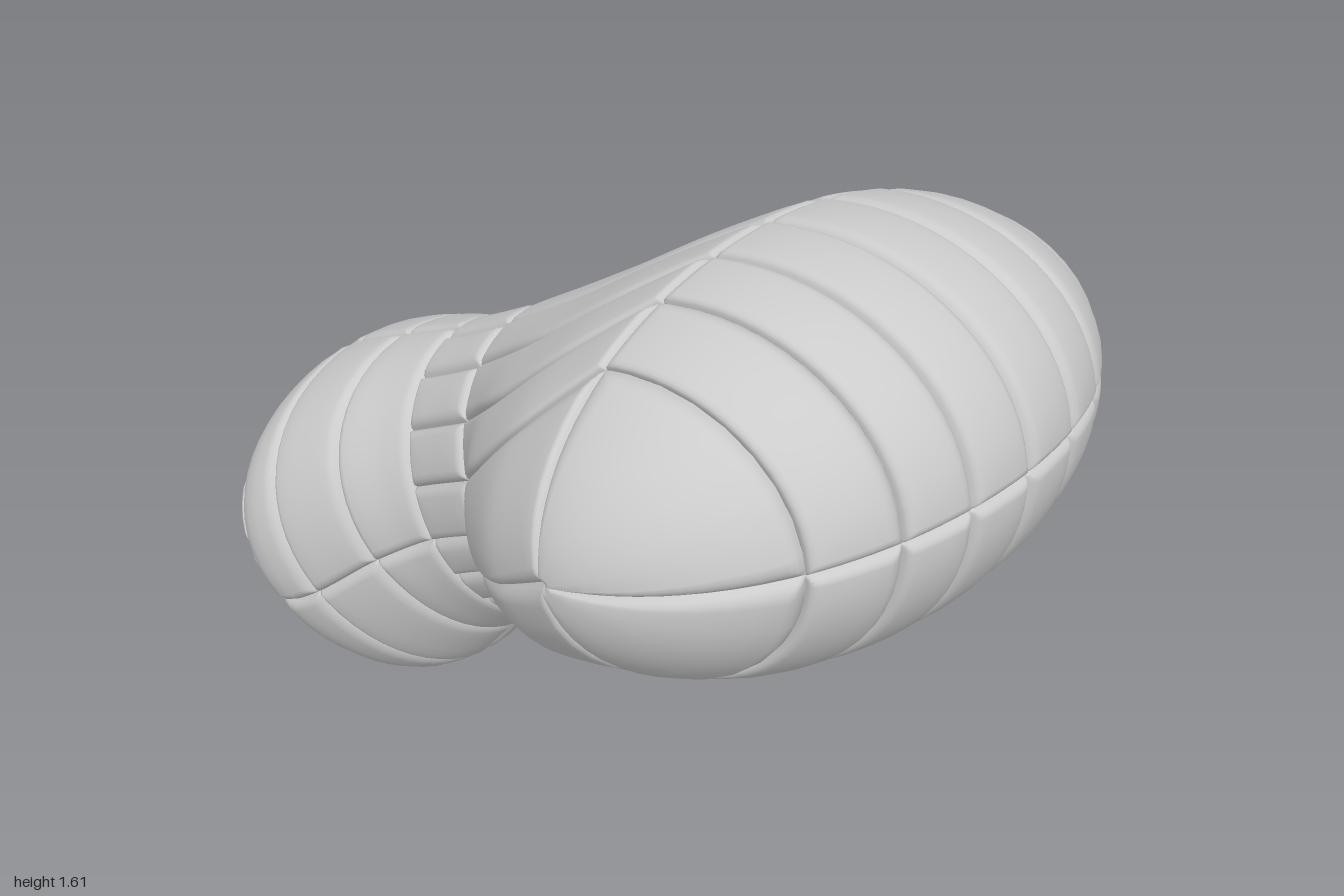
import * as THREE from 'three';
import { mergeGeometries } from 'three/addons/utils/BufferGeometryUtils.js';

const V = (x, y, z) => new THREE.Vector3(x, y, z);
const { lerp, clamp } = THREE.MathUtils;

// Cross-sections from the cuff end to the knuckles:
// centre x, half width, top z, top y, bottom z, bottom y
const SECTIONS = [
  [0.045, 0.415, -0.975, 0.69, -0.68, 0.025],
  [0.045, 0.445, -0.925, 0.775, -0.585, -0.008],
  [0.045, 0.43, -0.86, 0.835, -0.47, 0.06],
  [0.045, 0.365, -0.685, 0.925, -0.335, 0.225],
  [0.04, 0.305, -0.5, 1.01, -0.2, 0.355],
  [0.03, 0.315, -0.29, 1.13, -0.01, 0.475],
  [0.01, 0.545, -0.01, 1.315, 0.246, 0.61],
  [0, 0.67, 0.2, 1.465, 0.435, 0.705],
  [0, 0.718, 0.37, 1.575, 0.6, 0.785],
];
const LAST = SECTIONS.length - 1;
const BAND_START = 4, BAND_END = 5;
const topCurve = new THREE.CatmullRomCurve3(SECTIONS.map((s) => V(0, s[3], s[2])));
const bottomCurve = new THREE.CatmullRomCurve3(SECTIONS.map((s) => V(0, s[5], s[4])));
const widthCurve = new THREE.CatmullRomCurve3(SECTIONS.map((s) => V(s[0], s[1], 0)));

// Centre, half width and half-height vector of the section at index t
function section(t) {
  const top = topCurve.getPoint(t / LAST);
  const bottom = bottomCurve.getPoint(t / LAST);
  const w = widthCurve.getPoint(t / LAST);
  const centre = top.clone().add(bottom).multiplyScalar(0.5);
  const up = top.sub(bottom).multiplyScalar(0.5);
  centre.x = w.x;
  return { centre, width: w.y, up };
}

// Body surface: a = angle around the section, t = section index; the cuff narrows downwards
function body(a, t) {
  const { centre, width, up } = section(t);
  const taper = 0.17 * clamp(BAND_START - t, 0, 1);
  const point = centre.clone().addScaledVector(up, Math.sin(a));
  point.x += width * Math.cos(a) * (1 + taper * Math.sin(a));
  return { point, centre };
}

// Hand surface: seam k fans from its wrist angle to its knuckle angle
function hand(wrist, knuckle) {
  return (k, t) => {
    const i = clamp(Math.floor(k), 0, wrist.length - 2);
    const s = (t - BAND_END) / (LAST - BAND_END);
    const a = lerp(wrist[i], knuckle[i], s);
    const b = lerp(wrist[i + 1], knuckle[i + 1], s);
    return body(lerp(a, b, k - i), t);
  };
}

// Rounded cuff end: r runs from the pole to the rim
const endBulge = V(0, -0.04, -0.09);
function endCap(a, r) {
  const { point, centre } = body(a, 0);
  point.sub(centre).multiplyScalar(Math.sin(r * Math.PI / 2));
  point.add(centre).addScaledVector(endBulge, Math.cos(r * Math.PI / 2));
  return { point, centre };
}

// Knuckle dome: a selects a slice across the width, b runs over it from top to bottom
const domeForward = V(0, 0.15, 0.503);
function dome(a, b) {
  const { centre, width, up } = section(LAST);
  const point = centre.clone()
    .addScaledVector(up, Math.sin(a) * Math.cos(b))
    .addScaledVector(domeForward, Math.sin(a) * Math.sin(b));
  point.x += width * Math.cos(a);
  return { point, centre };
}

// Sample positions 0..1, packed closely beside the seams
function ticks(length) {
  const size = Math.max(length, 0.07);
  const edge = [0, 0.005, 0.01, 0.017, 0.027].map((e) => e / size);
  const start = edge[edge.length - 1];
  const n = Math.ceil(size / 0.05);
  const middle = [];
  for (let i = 1; i < n; i++) middle.push(start + (1 - 2 * start) * i / n);
  return [...edge, ...middle, ...edge.map((e) => 1 - e).reverse()];
}

// One padded panel whose edges sink into the seams
function panel(surface, u0, u1, v0, v1) {
  const at = (u, v) => surface(u0 + (u1 - u0) * u, v0 + (v1 - v0) * v);
  const span = (f) => {
    let sum = 0;
    for (let i = 0; i < 8; i++) sum += f(i / 8).distanceTo(f((i + 1) / 8));
    return sum;
  };
  const lenU = span((k) => at(k, 0.5).point);
  const lenV = span((k) => at(0.5, k).point);
  const us = ticks(lenU), vs = ticks(lenV);
  const positions = [], index = [];
  for (const v of vs) {
    for (const u of us) {
      const { point, centre } = at(u, v);
      const d = Math.min(Math.min(u, 1 - u) * lenU, Math.min(v, 1 - v) * lenV);
      const inward = centre.clone().sub(point).normalize();
      point.addScaledVector(inward, 0.023 * Math.exp(-d / 0.01));
      positions.push(point.x, point.y, point.z);
    }
  }
  // Pick the winding that faces outwards
  const m = at(0.5, 0.5);
  const du = at(0.51, 0.5).point.sub(m.point);
  const dv = at(0.5, 0.51).point.sub(m.point);
  const outward = du.cross(dv).dot(m.point.clone().sub(m.centre)) > 0;
  const n = us.length;
  for (let j = 0; j < vs.length - 1; j++) {
    for (let i = 0; i < n - 1; i++) {
      const a = j * n + i, b = a + 1, c = a + n, d = c + 1;
      if (outward) index.push(a, b, d, a, d, c);
      else index.push(a, d, b, a, c, d);
    }
  }
  const geometry = new THREE.BufferGeometry();
  geometry.setAttribute('position', new THREE.Float32BufferAttribute(positions, 3));
  geometry.setIndex(index);
  geometry.computeVertexNormals();
  return geometry;
}

export function createModel() {
  const group = new THREE.Group();
  group.name = 'paddedGlove';
  const material = new THREE.MeshStandardMaterial({ color: 0xcccccc });

  // A part is a grid of panels between two lists of seams
  const addPart = (name, surface, us, vs) => {
    const panels = [];
    for (let i = 0; i < us.length - 1; i++) {
      for (let j = 0; j < vs.length - 1; j++) {
        panels.push(panel(surface, us[i], us[i + 1], vs[j], vs[j + 1]));
      }
    }
    const mesh = new THREE.Mesh(mergeGeometries(panels), material);
    mesh.name = name;
    group.add(mesh);
  };
  const spread = (from, to, n) => Array.from({ length: n + 1 }, (_, i) => lerp(from, to, i / n));

  // Lengthwise seams at the knuckles; the palm has a wide panel at each side
  const seams = [0.87, 0.71, 0.5, 0.27, 0.03, -0.2, -0.42, -0.66].map((x) => Math.acos(x));
  const knuckleTop = [0, ...seams, Math.PI];
  const knucklePalm = [0, ...seams.slice(1).map((a) => -a), -Math.PI];

  // Seams at the wrist, where the side seam sits a little lower
  const drop = 0.18;
  const bandTop = spread(-drop, Math.PI + drop, 9);
  const bandBottom = spread(-drop, drop - Math.PI, 9);
  const wristPalm = [-drop, ...spread(-0.33, 0.33 - Math.PI, 6), drop - Math.PI];

  addPart('knuckleDome', dome, knuckleTop, [0, Math.PI / 2 + 0.13, Math.PI]);
  addPart('handBack', hand(bandTop, knuckleTop), spread(0, 9, 9), [BAND_END, LAST]);
  addPart('handPalm', hand(wristPalm, knucklePalm), spread(0, 8, 8), [BAND_END, LAST]);
  addPart('wristbandTop', body, bandTop, [BAND_START, BAND_END]);
  addPart('wristbandBottom', body, bandBottom, [BAND_START, BAND_END]);

  // Flared cuff and its rounded end
  const cuffSeams = [-drop, 1.63, Math.PI + drop, 4.65, 2 * Math.PI - drop];
  addPart('cuff', body, cuffSeams, [0, 2, 3, BAND_START]);
  addPart('cuffEnd', endCap, spread(-drop, 2 * Math.PI - drop, 12), [0, 1]);
  return group;
}
